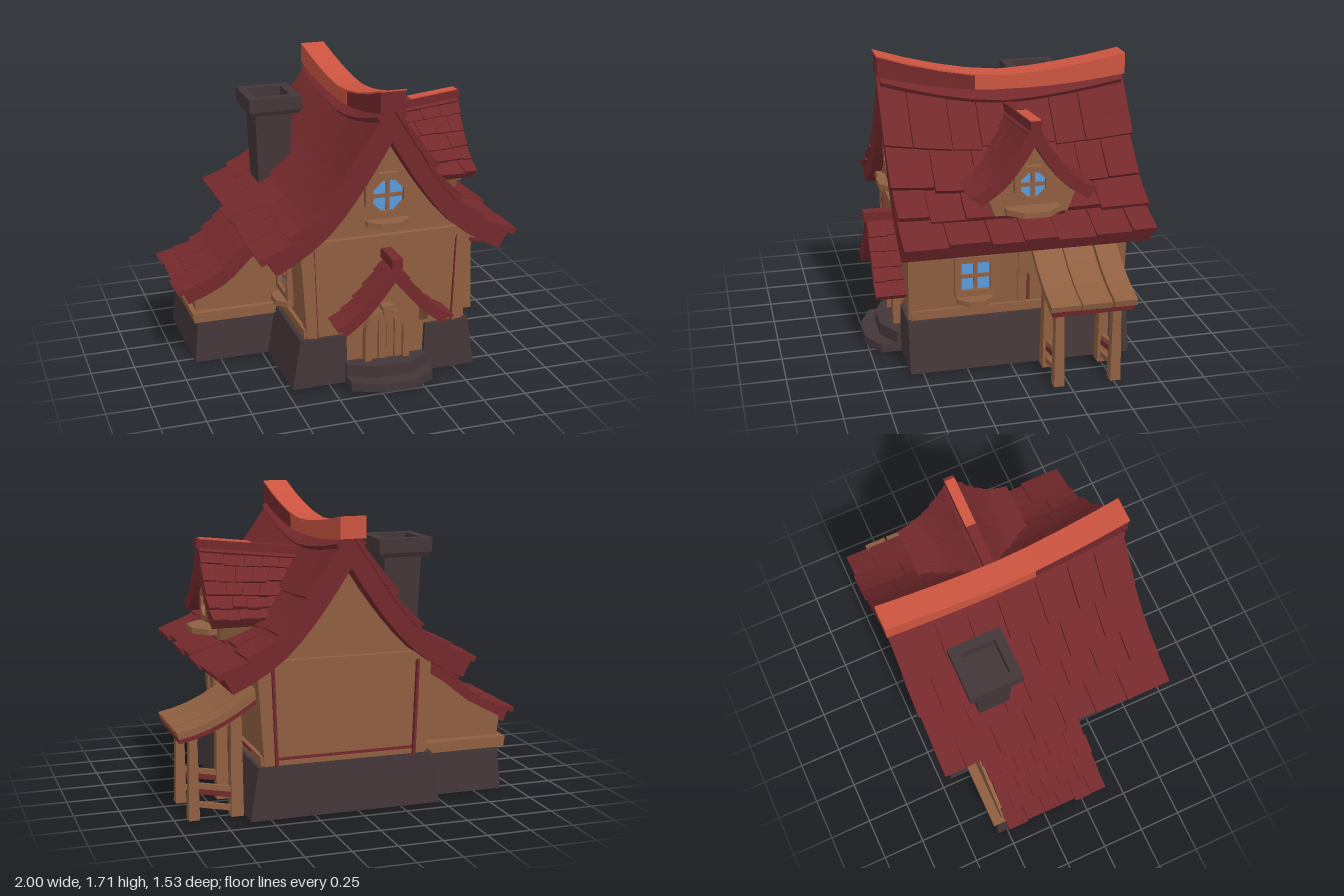
import * as THREE from 'three';

const paint = (name, color) => Object.assign(new THREE.MeshStandardMaterial({ color }), { name });

export function createModel() {
  const model = new THREE.Group();
  model.name = 'cottage';
  const tileRed = paint('roof red', 0x74292c);
  const ridgeRed = paint('ridge orange', 0xcc5440);
  const wood = paint('wood', 0x8f5f40);
  const stone = paint('stone', 0x443638);
  const glass = paint('window blue', 0x5a9bdc);
  const CX = 0.08; // centre line of the main house

  let seed = 7;
  const rnd = () => (seed = (seed * 16807) % 2147483647) / 2147483647;
  const V = (x, y, z) => new THREE.Vector3(x, y, z);

  function add(name, geo, mat, parent = model) {
    const m = new THREE.Mesh(geo, mat);
    m.name = name;
    parent.add(m);
    return m;
  }

  // Closed solid between two surfaces top(u,v) and bot(u,v), faceted
  function slab(top, bot, nu = 1, nv = 1) {
    const pos = [];
    const T = (i, j) => top(i / nu, j / nv), B = (i, j) => bot(i / nu, j / nv);
    const quad = (a, b, c, d) => [a, b, c, a, c, d].forEach(p => pos.push(p.x, p.y, p.z));
    for (let i = 0; i < nu; i++) {
      for (let j = 0; j < nv; j++) {
        quad(T(i, j), T(i + 1, j), T(i + 1, j + 1), T(i, j + 1));
        quad(B(i, j + 1), B(i + 1, j + 1), B(i + 1, j), B(i, j));
      }
      quad(B(i, 0), B(i + 1, 0), T(i + 1, 0), T(i, 0));
      quad(T(i, nv), T(i + 1, nv), B(i + 1, nv), B(i, nv));
    }
    for (let j = 0; j < nv; j++) {
      quad(B(nu, j), B(nu, j + 1), T(nu, j + 1), T(nu, j));
      quad(T(0, j), T(0, j + 1), B(0, j + 1), B(0, j));
    }
    // turn the faces outward if the volume is negative
    let vol = 0;
    const o = V(pos[0], pos[1], pos[2]);
    const P = k => V(pos[k], pos[k + 1], pos[k + 2]).sub(o);
    for (let k = 0; k < pos.length; k += 9) vol += P(k).dot(P(k + 3).cross(P(k + 6)));
    if (vol < 0) for (let k = 0; k < pos.length; k += 9)
      for (let c = 0; c < 3; c++) [pos[k + c], pos[k + 3 + c]] = [pos[k + 3 + c], pos[k + c]];
    const g = new THREE.BufferGeometry();
    g.setAttribute('position', new THREE.Float32BufferAttribute(pos, 3));
    g.computeVertexNormals();
    return g;
  }

  // Block from a lower rectangle [x0,x1,z0,z1] to an upper one
  function block(name, mat, y0, y1, lo, hi = lo) {
    const at = (r, y) => (u, v) => V(r[0] + (r[1] - r[0]) * u, y, r[2] + (r[3] - r[2]) * v);
    return add(name, slab(at(hi, y1), at(lo, y0)), mat);
  }

  // Roof profile: point at distance s down the curve, raised by h along its normal
  function profile(points) {
    const c = new THREE.SplineCurve(points.map(p => new THREE.Vector2(...p)));
    const len = c.getLength();
    return (s, h) => {
      const k = Math.min(s, 1), p = c.getPointAt(k), t = c.getTangentAt(k);
      const e = (s - k) * len;
      return [p.x + t.x * e - t.y * h, p.y + t.y * e + t.x * h];
    };
  }

  // Base sheet with overlapping rows of uneven tiles; at(s, v, h) gives the surface
  const even = n => Array.from({ length: n + 1 }, (_, i) => i / n);
  function tiledRoof(name, at, rows, cols, thick, lift, jag) {
    const g = new THREE.Group();
    g.name = name;
    model.add(g);
    add('roofBase', slab((u, v) => at(u, v, 0), (u, v) => at(u, v, -thick), 10, 8), tileRed, g);
    for (let r = 0; r < rows.length - 1; r++) {
      const edges = [-jag * rnd()];
      for (let c = 1; c < cols; c++) edges.push((c + (r % 2 ? 0.25 : -0.2) + (rnd() - 0.5) * 0.3) / cols);
      edges.push(1 + jag * rnd());
      for (let c = 0; c < cols; c++) {
        const a = edges[c] + 0.002, b = edges[c + 1] - 0.002;
        const s0 = rows[r], s1 = rows[r + 1] + 0.012 + 0.035 * rnd(), up = lift * (0.85 + 0.4 * rnd());
        const S = u => s0 + (s1 - s0) * u, W = v => a + (b - a) * v;
        add('tile', slab((u, v) => at(S(u), W(v), up * (0.25 + 0.75 * u)),
          (u, v) => at(S(u), W(v), -0.006 + up * 0.2 * u), 3, 2), tileRed, g);
      }
    }
  }

  const shapeOf = pts => new THREE.Shape(pts.map(p => new THREE.Vector2(...p)));
  const mirrored = pts => [...pts, ...pts.slice().reverse().filter(p => p[0] > 0).map(([x, y]) => [-x, y])];
  const extrude = (shape, depth) => new THREE.ExtrudeGeometry(shape, { depth, bevelEnabled: false, curveSegments: 8 });

  // Framed window facing +z with n sides, a cross of bars and a tapered sill
  function windowUnit(name, n, R, r, x, y, z, turn, sillDrop, sillHalf, sillOut) {
    const g = new THREE.Group();
    g.name = name;
    const ring = k => Array.from({ length: n }, (_, i) => {
      const a = (i + 0.5) * 2 * Math.PI / n;
      return new THREE.Vector2(Math.cos(a) * k, Math.sin(a) * k);
    });
    const frame = new THREE.Shape(ring(R));
    frame.holes.push(new THREE.Path(ring(r)));
    add('windowFrame', extrude(frame, 0.035), wood, g);
    add('windowGlass', extrude(new THREE.Shape(ring(r)), 0.008), glass, g).position.z = 0.004;
    const L = r * 1.9 * Math.cos(Math.PI / n);
    add('windowBar', new THREE.BoxGeometry(0.02, L, 0.02), wood, g).position.z = 0.015;
    add('windowBar', new THREE.BoxGeometry(L, 0.02, 0.02), wood, g).position.z = 0.015;
    const sill = shapeOf([[-sillHalf, -0.02], [sillHalf, -0.02], [sillHalf, sillOut * 0.4],
      [sillHalf * 0.45, sillOut], [-sillHalf * 0.45, sillOut], [-sillHalf, sillOut * 0.4]]);
    add('windowSill', extrude(sill, 0.032).rotateX(Math.PI / 2), wood, g).position.y = 0.016 - sillDrop;
    g.position.set(x, y, z);
    g.rotation.y = turn;
    model.add(g);
  }

  // Stone footing: hollow under the house, open at the door
  const b = [-0.47, 0.62, -0.685, 0.575], t = [-0.42, 0.575, -0.68, 0.575];
  block('footingFrontLeft', stone, 0.01, 0.3, [b[0], -0.145, 0.5, b[3]], [t[0], -0.155, 0.5, t[3]]);
  block('footingFrontRight', stone, 0.01, 0.3, [0.305, b[1], 0.5, b[3]], [0.315, t[1], 0.5, t[3]]);
  block('footingBack', stone, 0.01, 0.305, [b[0], b[1], b[2], -0.61], [t[0], t[1], t[2], -0.61]);
  block('footingRight', stone, 0.01, 0.305, [0.54, b[1], -0.68, 0.57], [0.5, t[1], -0.675, 0.57]);
  block('footingLeft', stone, 0.01, 0.305, [b[0], -0.39, -0.68, 0.57], [t[0], -0.34, -0.675, 0.57]);
  block('doorWall', wood, 0.02, 0.32, [-0.16, 0.32, 0.52, 0.55]);
  block('footingRim', wood, 0.007, 0.012, [0.55, 0.6, -0.67, 0.56]);
  block('footingRim', wood, 0.007, 0.012, [-0.45, -0.4, -0.67, 0.56]);
  block('footingRim', wood, 0.007, 0.012, [-0.45, 0.6, -0.67, -0.62]);

  // Timber walls leaning outward, corner posts, beams and red trim
  for (const s of [-1, 1]) {
    const X = (lo, hi) => [CX + s * lo, CX + s * hi];
    block('sideWall', wood, 0.29, 0.86, [...X(0.4, 0.45), -0.65, 0.55], [...X(0.44, 0.485), -0.65, 0.55]);
    block('sideBeam', wood, 0.3, 0.355, [...X(0.42, 0.475), -0.66, 0.555]);
    block('sidePost', wood, 0.3, 0.84, [...X(0.42, 0.462), -0.1, -0.05], [...X(0.45, 0.497), -0.1, -0.05]);
    for (const [z0, z1, zt, w] of [[0.5, 0.568, 0.571, 0.006], [-0.672, -0.6, -0.662, 0.015]]) {
      block('cornerPost', wood, 0.295, 0.87, [...X(0.4, 0.458), z0, z1], [...X(0.42, 0.498), z0, z1]);
      block('wallTrim', tileRed, 0.3, 0.84, [...X(0.4 - w, 0.4), zt - 0.03, zt - 0.005], [...X(0.42 - w, 0.42), zt - 0.03, zt - 0.005]);
    }
    windowUnit('sideWindow', 4, 0.165, 0.115, CX + s * 0.462, 0.545, 0.195, s * Math.PI / 2, 0.145, 0.1, 0.085);
  }
  block('sideTrim', tileRed, 0.37, 0.52, [0.53, 0.56, -0.115, -0.1]);
  block('sideTrim', tileRed, 0.335, 0.35, [0.53, 0.559, -0.47, -0.22]);
  block('frontWall', wood, 0.29, 0.87, [-0.36, 0.52, 0.52, 0.552], [-0.4, 0.56, 0.52, 0.556]);
  block('backWall', wood, 0.29, 0.87, [-0.36, 0.52, -0.655, -0.62], [-0.4, 0.56, -0.655, -0.62]);
  block('frontBeam', wood, 0.835, 0.88, [-0.4, 0.56, 0.54, 0.6], [-0.42, 0.58, 0.54, 0.6]);
  block('backBeam', wood, 0.835, 0.88, [-0.4, 0.56, -0.69, -0.63], [-0.42, 0.58, -0.69, -0.63]);
  block('backBottomTrim', tileRed, 0.33, 0.345, [-0.34, 0.5, -0.664, -0.65]);
  block('backBottomBeam', wood, 0.295, 0.33, [-0.36, 0.52, -0.672, -0.64]);
  const gable = extrude(shapeOf(mirrored([[0.5, 0.8], [0.46, 0.87], [0.28, 1.09], [0.13, 1.3], [0, 1.46]])), 0.03);
  for (const z of [0.535, -0.655]) add('gableWall', gable, wood).position.set(CX, 0, z);
  windowUnit('gableWindow', 8, 0.14, 0.095, 0.077, 1.105, 0.56, 0, 0.155, 0.12, 0.09);

  // Main roof with a sagging ridge
  const ridgeY = z => 1.555 + (z > -0.08 ? 0.155 * ((z + 0.08) / 0.73) ** 1.6 : 0.085 * ((-0.08 - z) / 0.69) ** 1.6);
  const mainCurve = profile([[0, 1.62], [0.21, 1.27], [0.39, 1.03], [0.54, 0.905], [0.695, 0.82]]);
  for (const side of [-1, 1]) tiledRoof('mainRoof', (s, v, h) => {
    const [x, y] = mainCurve(s, h), z = 0.63 - 1.38 * v;
    return V(CX + side * x, y + (ridgeY(z) - 1.71) * Math.max(0, 1 - s) ** 1.3, z);
  }, [0, 0.37, 0.63, 0.81, 1], 7, 0.1, 0.04, 0.014);

  // Ridge beam: red at the front, bare orange behind and along the top
  const ridgePart = (name, mat, z0, z1, x0, x1, up, down) => {
    const at = d => (u, v) => {
      const z = z0 + (z1 - z0) * v;
      return V(x0 + (x1 - x0) * u, ridgeY(z) - d(z), z);
    };
    add(name, slab(at(() => up), at(down), 1, 8), mat);
  };
  const depth = z => 0.078 + 0.06 * Math.abs(z + 0.08);
  ridgePart('ridgeFront', tileRed, 0.645, 0.1, 0.008, 0.147, 0.008, depth);
  ridgePart('ridgeBack', ridgeRed, 0.1, -0.77, 0.005, 0.15, 0.008, depth);
  ridgePart('ridgeTop', ridgeRed, 0.65, -0.77, 0.005, 0.15, 0, () => 0.009);

  // Chimney with a flared, hollow cap
  const square = h => [-0.325 - h, -0.325 + h, -0.35 - h, -0.35 + h];
  block('chimneyShaft', stone, 0.85, 1.39, square(0.09), square(0.11));
  const hollow = shapeOf([[-0.155, -0.155], [0.155, -0.155], [0.155, 0.155], [-0.155, 0.155]]);
  hollow.holes.push(new THREE.Path([[-0.1, -0.1], [-0.1, 0.1], [0.1, 0.1], [0.1, -0.1]].map(p => new THREE.Vector2(...p))));
  add('chimneyCap', extrude(hollow, 0.08).rotateX(Math.PI / 2), stone).position.set(-0.325, 1.475, -0.35);
  block('chimneyCapBase', stone, 1.37, 1.4, square(0.14), square(0.155));

  // Dormer on the left side of the house
  const DZ = -0.088;
  const dormerCurve = profile([[0, 1.43], [0.1, 1.265], [0.2, 1.14], [0.325, 1.055]]);
  for (const side of [-1, 1]) tiledRoof('dormerRoof', (s, v, h) => {
    const [w, y] = dormerCurve(s, h), x0 = 0.15 + 0.25 * s;
    return V(x0 + (0.745 - x0) * v, y - 0.065 * (1 - v) * (1 - s), DZ + side * w);
  }, even(5), 5, 0.05, 0.022, 0.015);
  const dormerCap = (y, x0, x1) => (u, v) => {
    const x = x0 + (x1 - x0) * u;
    return V(x, y + 0.11 * (x - 0.76), DZ + (v - 0.5) * 0.06);
  };
  add('dormerRidge', slab(dormerCap(1.468, 0.15, 0.76), dormerCap(1.42, 0.15, 0.76)), tileRed);
  add('dormerRidgeTop', slab(dormerCap(1.475, 0.45, 0.74), dormerCap(1.467, 0.45, 0.74)), ridgeRed);
  const dormerWall = add('dormerWall', extrude(shapeOf(mirrored([[0.2, 0.93], [0.25, 1.06], [0.11, 1.2], [0, 1.38]])), 0.25), wood);
  dormerWall.position.set(0.43, 0, DZ);
  dormerWall.rotation.y = Math.PI / 2;
  windowUnit('dormerWindow', 8, 0.11, 0.075, 0.68, 1.105, DZ, Math.PI / 2, 0.14, 0.15, 0.12);

  // Side annex with its own tiled roof
  block('annexFooting', stone, 0.01, 0.28, [-0.905, -0.4, -0.56, 0.07], [-0.88, -0.4, -0.55, 0.06]);
  const annex = shapeOf([[-0.88, 0.27], [-0.36, 0.27], [-0.36, 0.78], [-0.55, 0.66], [-0.7, 0.54], [-0.9, 0.43]]);
  add('annexWall', extrude(annex, 0.58), wood).position.z = -0.53;
  block('annexBeam', wood, 0.265, 0.325, [-0.905, -0.4, -0.585, 0.085], [-0.915, -0.4, -0.585, 0.085]);
  const annexCurve = profile([[0.38, 0.86], [0.6, 0.69], [0.76, 0.545], [0.965, 0.455]]);
  tiledRoof('annexRoof', (s, v, h) => {
    const [x, y] = annexCurve(s, h);
    return V(-x, y, 0.09 - 0.6 * v);
  }, even(7), 6, 0.07, 0.027, 0.03);

  // Plank canopy on posts
  const canopyCurve = profile([[0.53, 0.71], [0.7, 0.6], [0.85, 0.53], [0.99, 0.495]]);
  const canopy = (z0, z1, h) => (u, v) => {
    const [x, y] = canopyCurve(u, h);
    return V(x, y, z0 + (z1 - z0) * v);
  };
  for (const [z0, z1] of [[-0.12, -0.285], [-0.292, -0.46], [-0.472, -0.6]])
    add('canopyPlank', slab(canopy(z0, z1, 0.015), canopy(z0, z1, -0.022), 6), wood);
  add('canopyUnderside', slab(canopy(-0.13, -0.585, -0.018), canopy(-0.13, -0.585, -0.05), 6), tileRed);
  for (const z of [-0.19, -0.51]) {
    block('canopyPost', wood, 0, 0.6, [0.62, 0.69, z - 0.03, z + 0.03], [0.625, 0.685, z - 0.022, z + 0.022]);
    block('canopyPost', wood, 0, 0.48, [0.865, 0.925, z - 0.03, z + 0.03], [0.87, 0.915, z - 0.022, z + 0.022]);
    for (const [y, mat] of [[0.05, wood], [0.125, tileRed], [0.155, wood]]) {
      const rail = add('canopyRail', new THREE.BoxGeometry(0.22, 0.03, 0.025), mat);
      rail.position.set(0.78, y + 0.015, z);
      rail.rotation.z = 0.2;
    }
  }

  // Door, arch and curved steps
  const arch = (w, y0, yc) => {
    const s = new THREE.Shape();
    s.moveTo(-w, y0);
    s.lineTo(w, y0);
    s.lineTo(w, yc);
    s.absarc(0, yc, w, 0, Math.PI, false);
    s.closePath();
    return s;
  };
  const frame = arch(0.13, 0.12, 0.3);
  frame.holes.push(arch(0.095, 0.125, 0.3));
  add('doorFrame', extrude(frame, 0.06), wood).position.set(CX, 0, 0.54);
  for (let i = 0; i < 4; i++) {
    const x = (i - 1.5) * 0.047, top = 0.3 + Math.sqrt(0.095 ** 2 - x * x);
    block('doorPlank', wood, 0.12, top, [CX + x - 0.021, CX + x + 0.021, 0.54, 0.575 + (i % 2) * 0.008]);
  }
  block('keystone', wood, 0.4, 0.46, [0.055, 0.105, 0.55, 0.615], [0.045, 0.115, 0.55, 0.615]);
  const step = (y, k) => add('doorStep', extrude(shapeOf([[-0.24, 0.54], [0.24, 0.54], [0.24, 0.69 - k],
    [0.11, 0.765 - k], [-0.07, 0.765 - k], [-0.24, 0.69 - k]]), y - 0.01).rotateX(Math.PI / 2), stone).position.set(CX, y, 0);
  step(0.06, 0);
  step(0.13, 0.09);

  // Porch roof over the door with side brackets
  const porchCurve = profile([[0, 0.735], [0.11, 0.59], [0.21, 0.48], [0.315, 0.4]]);
  for (const side of [-1, 1]) {
    tiledRoof('porchRoof', (s, v, h) => {
      const [x, y] = porchCurve(s, h);
      return V(CX + side * x, y, 0.55 + 0.17 * v);
    }, even(5), 2, 0.05, 0.02, 0.06);
    const x = CX + side * 0.225;
    block('porchBracket', wood, 0.33, 0.45, [x - 0.02, x + 0.02, 0.54, 0.575], [x - 0.02, x + 0.02, 0.54, 0.66]);
  }
  block('porchRidge', tileRed, 0.735, 0.79, [0.05, 0.11, 0.55, 0.74]);

  return model;
}
